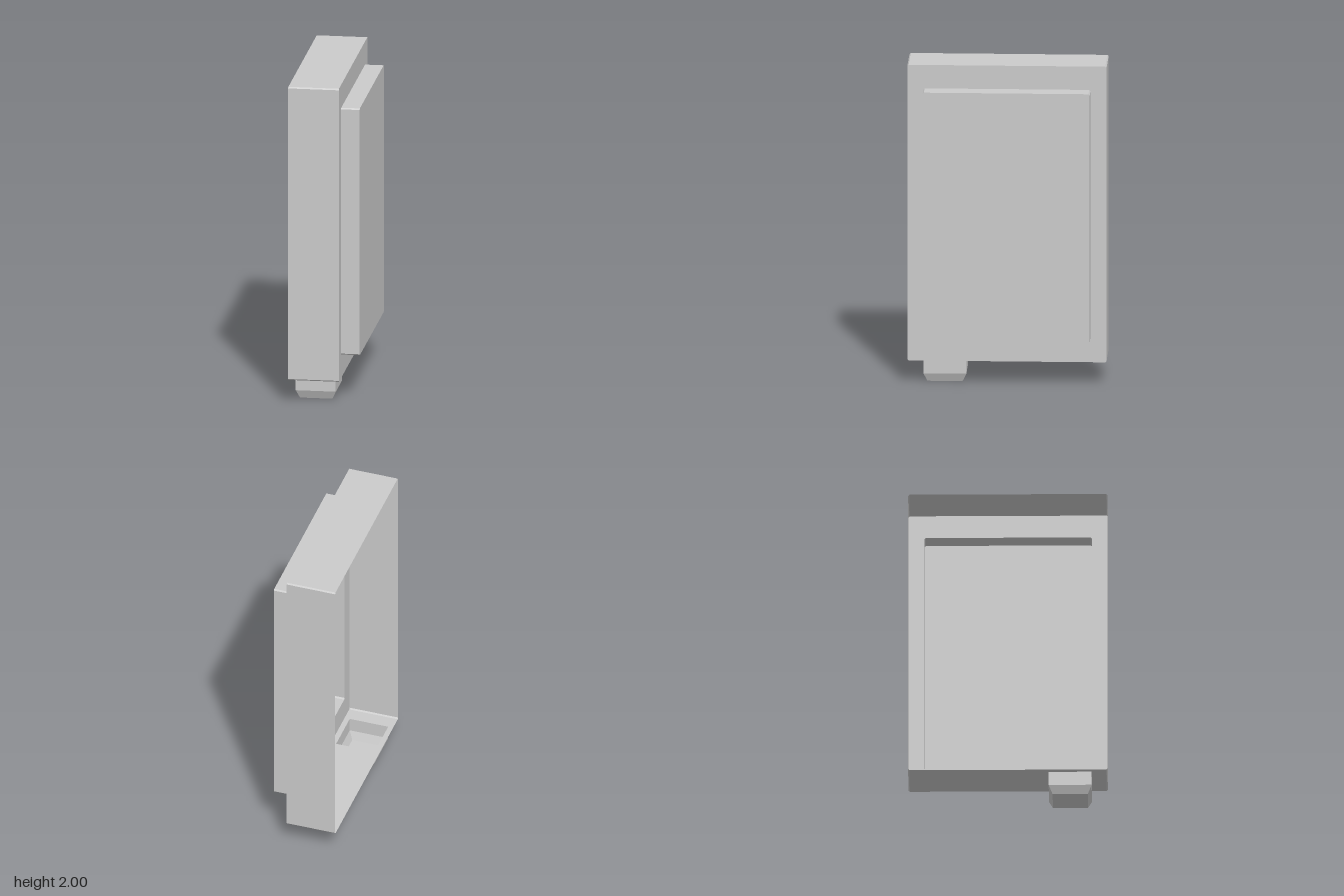
import * as THREE from 'three';

const material = new THREE.MeshStandardMaterial({
  color: 0xcccccc, flatShading: true, side: THREE.DoubleSide,
});

// Skin a series of matching rings; optionally close the last one, or leave the last strip open.
function loft(rings, { cap = false, skipLast = [] } = {}) {
  const pos = [];
  const tri = (...pts) => pts.forEach((p) => pos.push(...p));
  const n = rings[0].length;
  for (let i = 0; i < rings.length - 1; i++) {
    const end = skipLast.includes(i) ? n - 1 : n;
    for (let j = 0; j < end; j++) {
      const k = (j + 1) % n;
      const a = rings[i][j], b = rings[i][k], c = rings[i + 1][j], d = rings[i + 1][k];
      tri(a, b, d);
      tri(a, d, c);
    }
  }
  if (cap) {
    const r = rings[rings.length - 1];
    for (let j = 1; j < n - 1; j++) tri(r[0], r[j], r[j + 1]);
  }
  const g = new THREE.BufferGeometry();
  g.setAttribute('position', new THREE.Float32BufferAttribute(pos, 3));
  g.computeVertexNormals();
  return g;
}

// Upright rectangle with tiny chamfered corners at a given x; its bottom edge is the last segment.
function uprightRing(x, w, y0, y1, b = 0.008) {
  return [
    [x, y0, -w + b], [x, y0 + b, -w], [x, y1 - b, -w], [x, y1, -w + b],
    [x, y1, w - b], [x, y1 - b, w], [x, y0 + b, w], [x, y0, w - b],
  ];
}

// Horizontal rectangle at a given height
const flatRing = (y, x0, x1, z0, z1) => [[x1, y, z0], [x1, y, z1], [x0, y, z1], [x0, y, z0]];

export function createModel() {
  const group = new THREE.Group();
  const add = (name, geometry) => {
    const mesh = new THREE.Mesh(geometry, material);
    mesh.name = name;
    group.add(mesh);
    return mesh;
  };

  const backX = -0.215, rimX = 0.098, panelX = 0.213;
  const base = 0.14, halfDepth = 0.61;
  const foot = { x0: -0.183, x1: 0.065, z0: 0.25, z1: 0.513 };

  // Case walls, open on the -x side, with the bottom wall left out
  add('caseWalls', loft([
    uprightRing(backX, halfDepth, base, 2),
    uprightRing(rimX, halfDepth, base, 2),
  ], { skipLast: [0] }));

  // Flat rim stepping out into the raised hollow panel
  add('raisedPanel', loft([
    uprightRing(rimX, halfDepth, base, 2),
    uprightRing(rimX, 0.512, 0.287, 1.853),
    uprightRing(panelX, 0.512, 0.287, 1.853),
  ], { cap: true }));

  // Bottom wall with an opening into the foot
  const rect = (T, x0, x1, z0, z1) => new T([
    new THREE.Vector2(x0, z0), new THREE.Vector2(x1, z0),
    new THREE.Vector2(x1, z1), new THREE.Vector2(x0, z1),
  ]);
  const floor = rect(THREE.Shape, backX, rimX, -halfDepth + 0.008, halfDepth - 0.008);
  floor.holes.push(rect(THREE.Path, foot.x0, foot.x1, foot.z0, foot.z1));
  add('bottomWall', new THREE.ShapeGeometry(floor).rotateX(Math.PI / 2).translate(0, base, 0));

  // Hollow foot, tapered towards its closed end
  const t = 0.024;
  add('foot', loft([
    flatRing(base, foot.x0, foot.x1, foot.z0, foot.z1),
    flatRing(0.052, foot.x0, foot.x1, foot.z0, foot.z1),
    flatRing(0, foot.x0 + t, foot.x1 - t, foot.z0 + t, foot.z1 - t),
  ], { cap: true }));

  return group;
}
